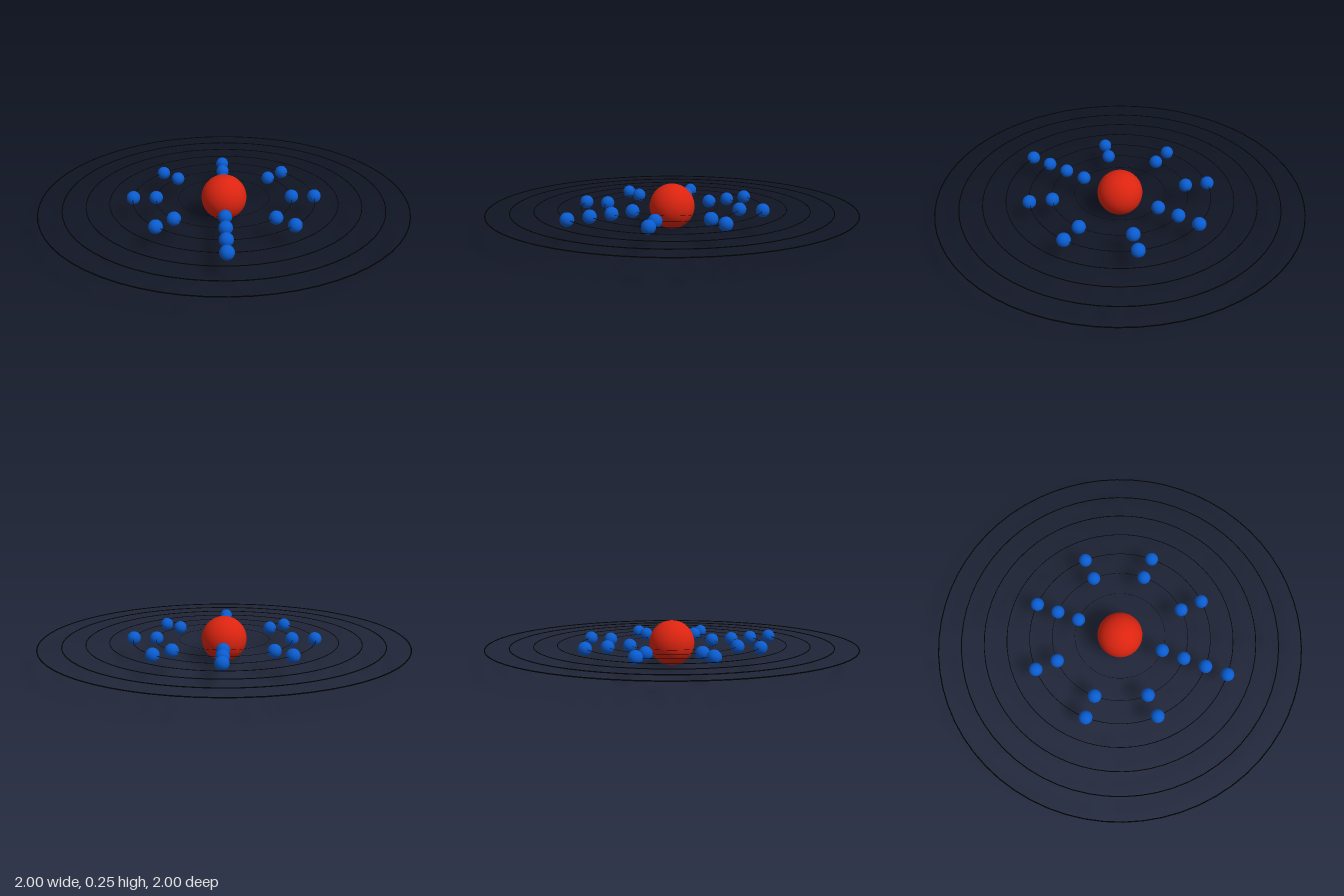
import * as THREE from 'three';

const CENTRE_Y = 0.126;
const SHELL_STEP = 0.125;

export function createModel() {
  const model = new THREE.Group();
  model.name = 'atomModel';

  const red = new THREE.MeshStandardMaterial({ color: 0xdc2410 });
  const blue = new THREE.MeshStandardMaterial({ color: 0x0a5cd0 });
  const black = new THREE.MeshStandardMaterial({ color: 0x000000 });

  const add = (name, geometry, material, x = 0, z = 0) => {
    const mesh = new THREE.Mesh(geometry, material);
    mesh.name = name;
    mesh.position.set(x, CENTRE_Y, z);
    model.add(mesh);
  };

  // Nucleus
  add('nucleus', new THREE.SphereGeometry(0.124, 48, 32), red);

  // Seven thin orbit rings, thicker towards the outside
  for (let i = 2; i <= 8; i++) {
    const radius = i * SHELL_STEP;
    const tube = 0.003 * radius;
    const ring = new THREE.TorusGeometry(radius - tube, tube, 8, 64).rotateX(Math.PI / 2);
    add(`orbit${i - 1}`, ring, black);
  }

  // Electrons spread evenly round the four inner orbits, starting at the front
  const electron = new THREE.SphereGeometry(0.037, 32, 20);
  [2, 8, 8, 1].forEach((count, shell) => {
    const radius = (shell + 2) * SHELL_STEP - 0.002;
    for (let k = 0; k < count; k++) {
      const a = (k / count) * Math.PI * 2;
      add(`electron${shell + 1}_${k + 1}`, electron, blue, Math.sin(a) * radius, Math.cos(a) * radius);
    }
  });

  return model;
}
